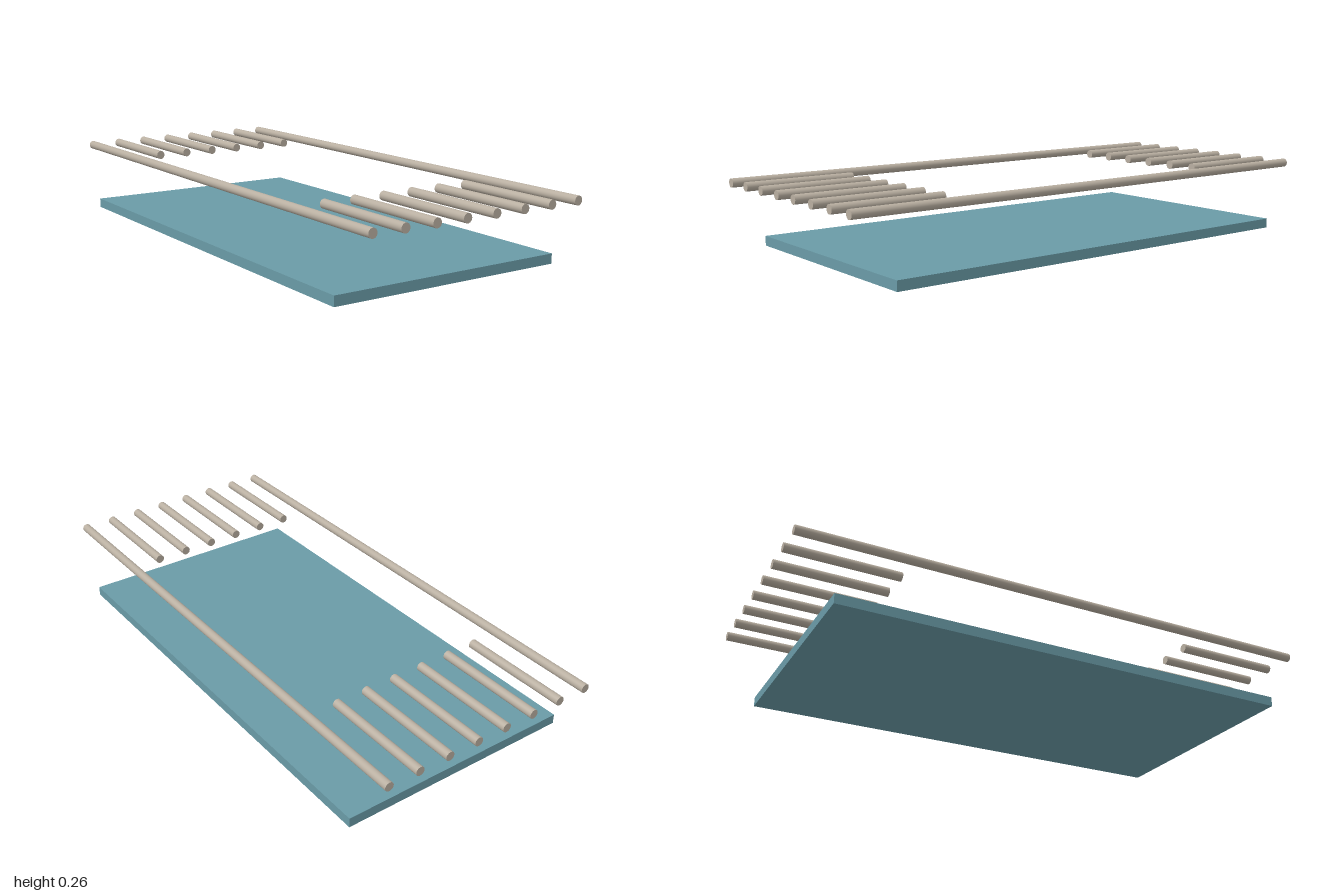
import * as THREE from 'three';

const ROD_RADIUS = 0.0165;
const ROD_HEIGHT = 0.247;
const ROD_SPACING = 0.1193;
const ROD_COUNT = 8;
const SHORT_LENGTH = 0.415;

export function createModel() {
  const model = new THREE.Group();
  model.name = 'slabWithRods';

  const slabBlue = new THREE.MeshStandardMaterial({ color: 0x6a9ba7 });
  slabBlue.name = 'slab blue';
  const rodGrey = new THREE.MeshStandardMaterial({ color: 0xb9afa1 });
  rodGrey.name = 'rod warm grey';

  // Flat slab on the ground
  const slab = new THREE.Mesh(new THREE.BoxGeometry(0.906, 0.036, 1.724), slabBlue);
  slab.name = 'slab';
  slab.position.y = 0.018;
  model.add(slab);

  // Rods lie along z, floating above the slab
  const rodGeometry = (length) =>
    new THREE.CylinderGeometry(ROD_RADIUS, ROD_RADIUS, length, 24).rotateX(Math.PI / 2);
  const longRod = rodGeometry(2);
  const shortRod = rodGeometry(SHORT_LENGTH);

  const addRod = (name, geometry, x, z) => {
    const rod = new THREE.Mesh(geometry, rodGrey);
    rod.name = name;
    rod.position.set(x, ROD_HEIGHT, z);
    model.add(rod);
  };

  // Full-length rods at the sides, short rods at both ends between them
  for (let i = 0; i < ROD_COUNT; i++) {
    const x = (i - (ROD_COUNT - 1) / 2) * ROD_SPACING;
    if (i === 0 || i === ROD_COUNT - 1) {
      addRod(i === 0 ? 'rightSideRod' : 'leftSideRod', longRod, x, 0);
    } else {
      addRod(`frontRod${i}`, shortRod, x, 1 - SHORT_LENGTH / 2);
      addRod(`backRod${i}`, shortRod, x, -1 + SHORT_LENGTH / 2);
    }
  }

  return model;
}
